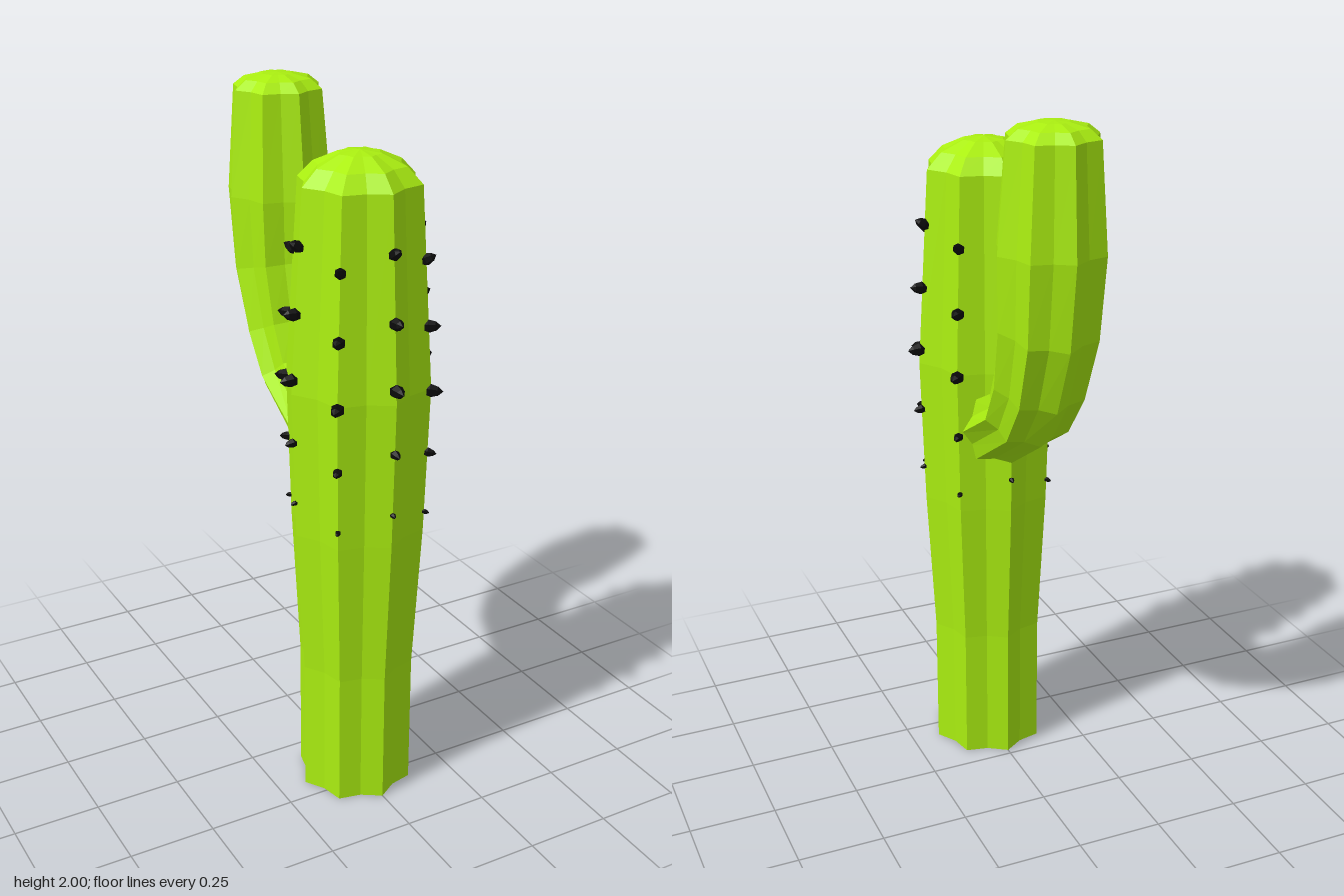
import * as THREE from 'three';

const RIBS = 8, SIDES = RIBS * 2, VALLEY = 0.855;
const TRUNK_Z = 0.185;
const green = new THREE.MeshStandardMaterial({ color: 0xaaee11, flatShading: true });
const black = new THREE.MeshStandardMaterial({ color: 0x0a0a0a, flatShading: true });

// Ribbed cross-section: outer and inner [z, y] ridge points in the x = 0 plane, plus half width in x
function ring(outer, inner, rx) {
  const cz = (outer[0] + inner[0]) / 2, cy = (outer[1] + inner[1]) / 2;
  const uz = inner[0] - cz, uy = inner[1] - cy;
  return Array.from({ length: SIDES }, (_, j) => {
    const a = (j / SIDES) * Math.PI * 2, k = j % 2 ? VALLEY : 1;
    const c = Math.cos(a) * k, s = Math.sin(a) * k;
    return [s * rx, cy + uy * c, cz + uz * c];
  });
}

// Level, circular cross-section
const levelRing = (z, y, r) => ring([z - r, y], [z + r, y], r);

// Skin a stack of cross-sections and close both ends
function loft(rings, bottom, top) {
  const pos = [...rings.flat(), bottom, top].flat();
  const index = [], b = rings.length * SIDES, t = b + 1, last = b - SIDES;
  for (let j = 0; j < SIDES; j++) {
    const n = (j + 1) % SIDES;
    for (let i = 0; i < rings.length - 1; i++) {
      const p = i * SIDES, q = p + SIDES;
      index.push(p + j, p + n, q + n, p + j, q + n, q + j);
    }
    index.push(b, n, j, t, last + j, last + n);
  }
  const geo = new THREE.BufferGeometry();
  geo.setAttribute('position', new THREE.Float32BufferAttribute(pos, 3));
  geo.setIndex(index);
  const flat = geo.toNonIndexed();
  flat.computeVertexNormals();
  return flat;
}

function addMesh(parent, name, geometry, material) {
  const mesh = new THREE.Mesh(geometry, material);
  mesh.name = name;
  parent.add(mesh);
  return mesh;
}

export function createModel() {
  const model = new THREE.Group();
  model.name = 'cactus';

  // Trunk with a shallow dome: [height, ridge radius]
  const trunk = [
    [0, 0.167], [0.4, 0.167], [0.83, 0.19], [1.25, 0.202], [1.8, 0.167],
    [1.843, 0.125], [1.872, 0.06],
  ];
  addMesh(model, 'trunk', loft(
    trunk.map(([y, r]) => levelRing(TRUNK_Z, y, r)),
    [0, 0, TRUNK_Z], [0, 1.88, TRUNK_Z]), green);

  // Arm bending out of the back and upward: outer point, inner point, half width
  const arm = [
    [[0.06, 0.94], [0.06, 1.2], 0.128],
    [[-0.21, 1.11], [-0.05, 1.25], 0.13],
    [[-0.31, 1.24], [-0.09, 1.345], 0.134],
    [[-0.385, 1.43], [-0.115, 1.5], 0.143],
    [[-0.415, 1.67], [-0.11, 1.67], 0.15],
    [[-0.395, 1.96], [-0.14, 1.96], 0.128],
  ].map((s) => ring(...s));
  arm.push(levelRing(-0.268, 1.985, 0.096), levelRing(-0.268, 1.997, 0.045));
  addMesh(model, 'arm', loft(arm, [0, 1.07, 0.06], [0, 2, -0.268]), green);

  // Spikes along every ridge: [height, surface radius, scale, upward tilt]
  const spikeGeo = new THREE.LatheGeometry(
    [[0, -0.02], [0.015, -0.016], [0.019, 0.002], [0.013, 0.022], [0, 0.036]]
      .map(([x, y]) => new THREE.Vector2(x, y)), 6);
  const rows = [
    [0.93, 0.193, 0.4, -0.2], [1.11, 0.197, 0.7, -0.1], [1.29, 0.199, 1, 0],
    [1.47, 0.19, 0.95, 0.12], [1.65, 0.178, 0.85, 0.5],
  ];
  const spikes = new THREE.Group();
  spikes.name = 'spikes';
  model.add(spikes);
  for (let k = 0; k < RIBS; k++) {
    const a = (k / RIBS) * Math.PI * 2;
    for (const [y, r, scale, tilt] of rows) {
      const spike = addMesh(spikes, 'spike', spikeGeo, black);
      spike.position.set(Math.sin(a) * r, y - (k % 2) * 0.045, TRUNK_Z + Math.cos(a) * r);
      spike.rotation.set(Math.PI / 2 - tilt, a, 0, 'YXZ');
      spike.scale.setScalar(scale);
    }
  }
  return model;
}
